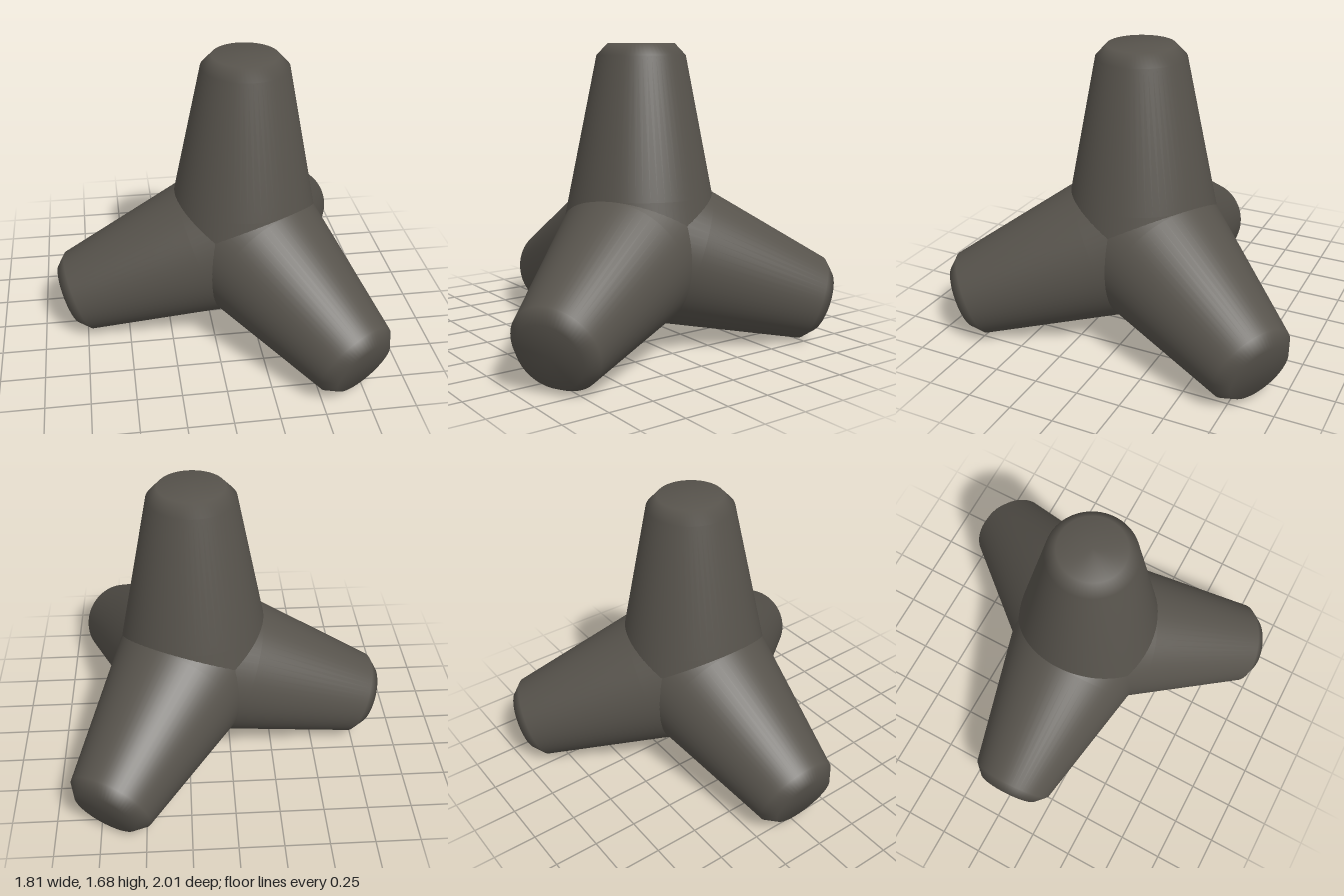
import * as THREE from 'three';

export function createModel() {
  const group = new THREE.Group();
  group.name = 'tetrapod';
  const concrete = new THREE.MeshStandardMaterial({ color: 0x57534c });
  concrete.name = 'dark concrete';

  // tapered leg with a chamfered flat end, running from the hub along +y
  const profile = [[0.453, 0], [0.397, 0.28], [0.245, 1.038], [0.184, 1.103], [0, 1.103]];
  const legGeometry = new THREE.LatheGeometry(profile.map(([r, y]) => new THREE.Vector2(r, y)), 64);

  // four legs toward the corners of a regular tetrahedron
  const out = Math.sqrt(8) / 3;
  const up = new THREE.Vector3(0, 1, 0);
  const addLeg = (name, direction) => {
    const leg = new THREE.Mesh(legGeometry, concrete);
    leg.name = name;
    leg.position.set(0.195, 0.581, 0);
    leg.quaternion.setFromUnitVectors(up, direction.normalize());
    group.add(leg);
  };
  addLeg('topLeg', up.clone());
  ['frontLeg', 'rightLeg', 'backLeg'].forEach((name, i) => {
    const a = Math.PI / 3 + i * Math.PI * 2 / 3;
    addLeg(name, new THREE.Vector3(out * Math.cos(a), -1 / 3, out * Math.sin(a)));
  });
  return group;
}
